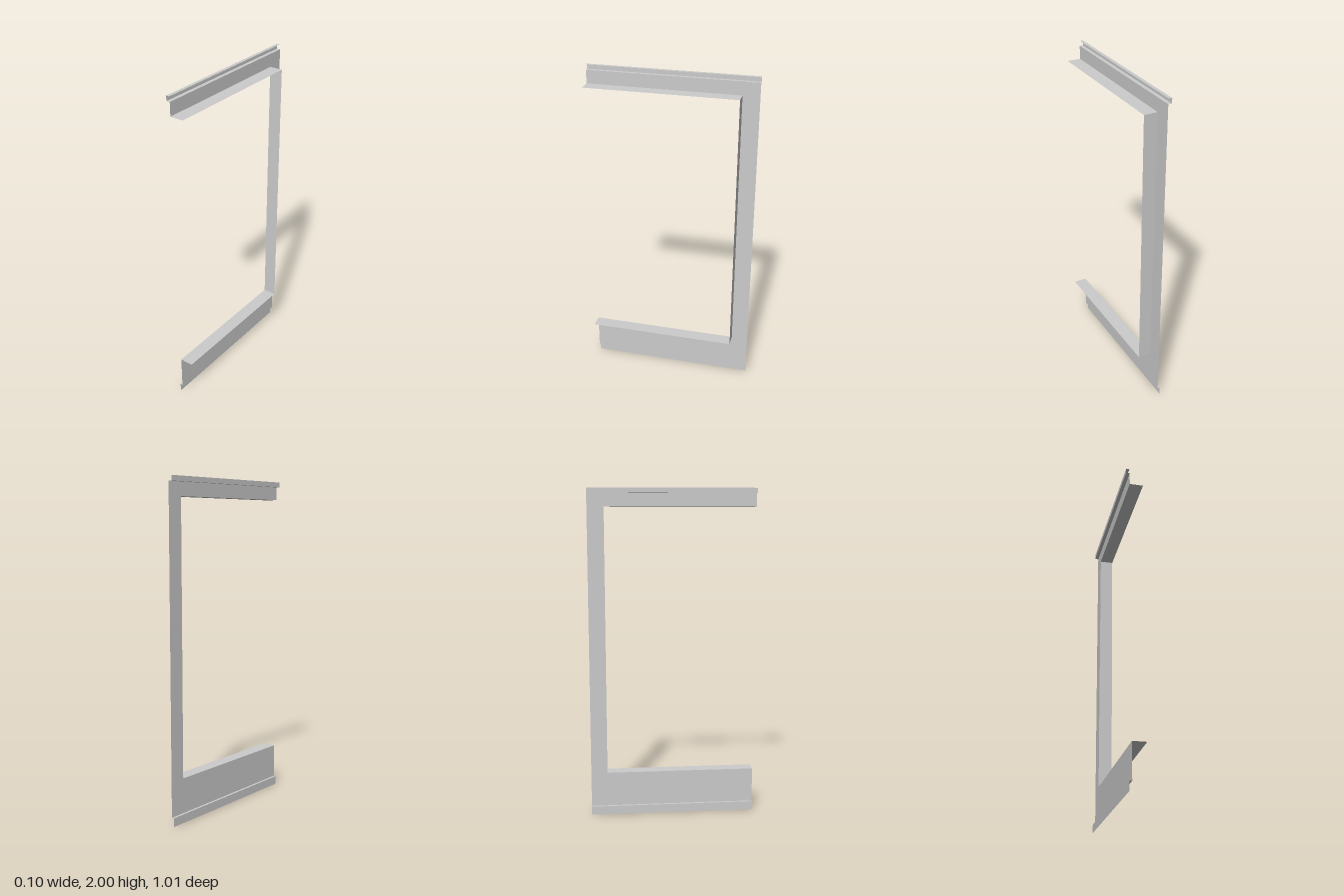
import * as THREE from 'three';

const material = new THREE.MeshStandardMaterial({ color: 0xcccccc, side: THREE.DoubleSide, flatShading: true });
const HALF = 0.505;     // half depth of the frame
const WEB = -0.03;      // plane of the flat web
const EDGE = 0.052;     // outer edge of the inner flanges
const SILL = 0.265, HEAD = 1.89, JAMB = -0.405; // opening limits

function addMesh(group, name, geometry) {
  const mesh = new THREE.Mesh(geometry, material);
  mesh.name = name;
  group.add(mesh);
}

// Folded sheet: an open [x, y] profile swept along z
function foldedSheet(profile) {
  const positions = [];
  for (let i = 0; i < profile.length - 1; i++) {
    const [ax, ay] = profile[i], [bx, by] = profile[i + 1];
    positions.push(
      ax, ay, HALF, bx, by, HALF, bx, by, -HALF,
      ax, ay, HALF, bx, by, -HALF, ax, ay, -HALF);
  }
  const geometry = new THREE.BufferGeometry();
  geometry.setAttribute('position', new THREE.Float32BufferAttribute(positions, 3));
  geometry.computeVertexNormals();
  return geometry;
}

export function createModel() {
  const group = new THREE.Group();
  group.name = 'halfFrame';

  // Flat C-shaped web: sill panel, jamb and head in one plane
  const outline = [[-HALF, 0.053], [HALF, 0.053], [HALF, SILL], [JAMB, SILL],
    [JAMB, HEAD], [HALF, HEAD], [HALF, 1.97], [-HALF, 1.97]];
  const shape = new THREE.Shape(outline.map(([z, y]) => new THREE.Vector2(-z, y)));
  const web = new THREE.ShapeGeometry(shape);
  web.rotateY(Math.PI / 2).translate(WEB, 0, 0);
  addMesh(group, 'web', web);

  // Flanges around the opening
  const flangeWidth = EDGE - WEB, flangeX = (EDGE + WEB) / 2;
  const flangeLength = HALF - JAMB;
  for (const [name, y] of [['sillFlange', SILL], ['headFlange', HEAD]]) {
    const flange = new THREE.PlaneGeometry(flangeWidth, flangeLength);
    flange.rotateX(-Math.PI / 2).translate(flangeX, y, (HALF + JAMB) / 2);
    addMesh(group, name, flange);
  }
  const jambFlange = new THREE.PlaneGeometry(flangeWidth, HEAD - SILL);
  jambFlange.translate(flangeX, (HEAD + SILL) / 2, JAMB);
  addMesh(group, 'jambFlange', jambFlange);

  // Stepped drip lip below the sill
  addMesh(group, 'bottomLip', foldedSheet([[WEB, 0.053], [-0.045, 0.053], [-0.045, 0]]));

  // Channel folded outward along the head
  addMesh(group, 'topChannel', foldedSheet([[WEB, 1.97], [-EDGE, 1.97], [-EDGE, 2], [-0.032, 2]]));

  return group;
}
